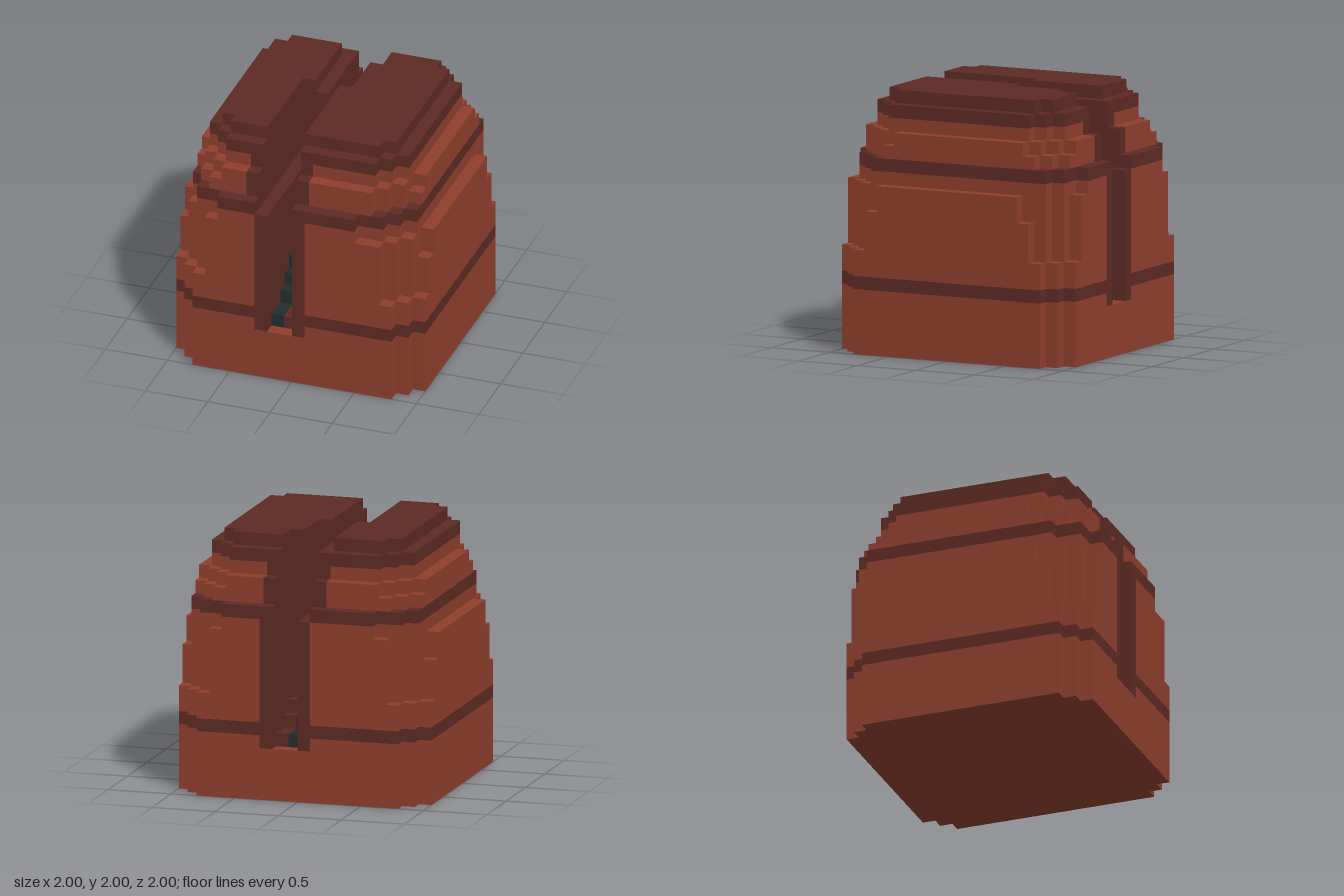
import * as THREE from 'three';

const U = 0.1; // edge of one block; the grid is 20 x 20 x 20, x and z run -10..9

// Block heights at the stepped corners: rows |x| = 6..9, columns |z| = 6..9
const CORNER_BACK = [[19, 17, 16, 13], [17, 16, 15, 8], [16, 15, 8, 0], [11, 8, 0, 0]];
const CORNER_FRONT_RIGHT = [[19, 17, 16, 13], [17, 16, 15, 8], [15, 13, 8, 0], [11, 8, 0, 0]];
const CORNER_FRONT_LEFT = [[19, 17, 15, 13], [17, 15, 13, 8], [15, 13, 8, 0], [11, 8, 0, 0]];

// Height of the rounded boulder, before the cleft is cut
function boulderHeight(x, z) {
  const ax = x < 0 ? -x - 1 : x;
  const az = z < 0 ? -z - 1 : z;
  if (ax >= 6 && az >= 6) {
    const corner = z < 0 ? CORNER_BACK : x < 0 ? CORNER_FRONT_RIGHT : CORNER_FRONT_LEFT;
    return corner[ax - 6][az - 6];
  }
  if (x === 5 && z === 9) return 13;
  if (ax === 8 && z === 5) return 16;
  const sideStep = { 9: 13, 8: 17, 7: 19 }[ax] ?? 20;
  const endStep = { 9: 15, 8: 17, 7: 19 }[az] ?? 20;
  return Math.min(sideStep, endStep);
}

// Zigzag cleft: the range of x it spans, wider near the top
function inCleft(x, y, z) {
  if (y < 4 || z < -10 || z > 9) return false;
  const level = y >= 19 ? 2 : y >= 14 ? 1 : 0;
  const front = [[-2, -1], [-3, -1], [-3, -1]];
  const middle = [[-1, 0], [-1, 0], [-2, 0]];
  const back = [[0, 1], [-1, 1], [-2, 1]];
  const [a, b] = (z >= -1 ? front : z >= -5 ? middle : back)[level];
  return x >= a && x <= b;
}

// Stepped floor of the cleft, from back to front
const FLOOR = [4, 5, 5, 6, 7, 8, 8, 9, 9, 10, 9, 8, 8, 8, 8, 7, 6, 5, 5, 4];

function isSolid(x, y, z) {
  if (x < -10 || x > 9 || z < -10 || z > 9 || y < 0 || y >= boulderHeight(x, z)) return false;
  return !(inCleft(x, y, z) && y >= FLOOR[z + 10]);
}

// Dark growth running along the bottom of the cleft
function isGrowth(x, z) {
  return (x === 0 && ((z >= -9 && z <= -6) || z === -4)) ||
    (x === -1 && (z === -5 || z === -1)) ||
    (x === -2 && (z === 0 || (z >= 4 && z <= 8)));
}

// Which part a block belongs to
function partAt(x, y, z) {
  if (inCleft(x, y, z)) return isGrowth(x, z) ? 'cleftGrowth' : 'cleftLining';
  if (y >= 18) return 'cap';
  const besideCleft = inCleft(x - 1, y, z) || inCleft(x + 1, y, z) ||
    inCleft(x, y, z - 1) || inCleft(x, y, z + 1) || (y >= 4 && inCleft(x, y + 1, z));
  if (besideCleft) return 'cleftLining';
  if (y === 14) return 'upperBand';
  if (y === 5) return 'lowerBand';
  return 'boulder';
}

// Six faces of a block: outward normal and two edge directions with u x v = normal
const FACES = [
  [[1, 0, 0], [0, 1, 0], [0, 0, 1]], [[-1, 0, 0], [0, 0, 1], [0, 1, 0]],
  [[0, 1, 0], [0, 0, 1], [1, 0, 0]], [[0, -1, 0], [1, 0, 0], [0, 0, 1]],
  [[0, 0, 1], [1, 0, 0], [0, 1, 0]], [[0, 0, -1], [0, 1, 0], [1, 0, 0]],
];

function addFace(part, block, [n, u, v]) {
  const first = part.positions.length / 3;
  for (const [s, t] of [[0, 0], [1, 0], [1, 1], [0, 1]]) {
    for (let i = 0; i < 3; i++) {
      part.positions.push((block[i] + Math.max(n[i], 0) + s * u[i] + t * v[i]) * U);
      part.normals.push(n[i]);
    }
  }
  part.indices.push(first, first + 1, first + 2, first, first + 2, first + 3);
}

export function createModel() {
  const material = (name, color) => {
    const m = new THREE.MeshStandardMaterial({ color });
    m.name = name;
    return m;
  };
  const clay = material('red clay', 0x8f3f2d);
  const darkClay = material('dark clay', 0x5d2b23);
  const slate = material('dark slate', 0x222d2d);
  const materials = {
    boulder: clay, lowerBand: darkClay, upperBand: darkClay,
    cap: darkClay, cleftLining: darkClay, cleftGrowth: slate,
  };

  // Collect the exposed block faces of each part
  const parts = {};
  for (const name in materials) parts[name] = { positions: [], normals: [], indices: [] };
  for (let x = -10; x < 10; x++) {
    for (let y = 0; y < 20; y++) {
      for (let z = -10; z < 10; z++) {
        if (!isSolid(x, y, z)) continue;
        const part = parts[partAt(x, y, z)];
        for (const face of FACES) {
          const n = face[0];
          if (!isSolid(x + n[0], y + n[1], z + n[2])) addFace(part, [x, y, z], face);
        }
      }
    }
  }

  const group = new THREE.Group();
  group.name = 'cleftBoulder';
  for (const name in parts) {
    const { positions, normals, indices } = parts[name];
    const geometry = new THREE.BufferGeometry();
    geometry.setAttribute('position', new THREE.Float32BufferAttribute(positions, 3));
    geometry.setAttribute('normal', new THREE.Float32BufferAttribute(normals, 3));
    geometry.setIndex(indices);
    const mesh = new THREE.Mesh(geometry, materials[name]);
    mesh.name = name;
    group.add(mesh);
  }
  return group;
}
